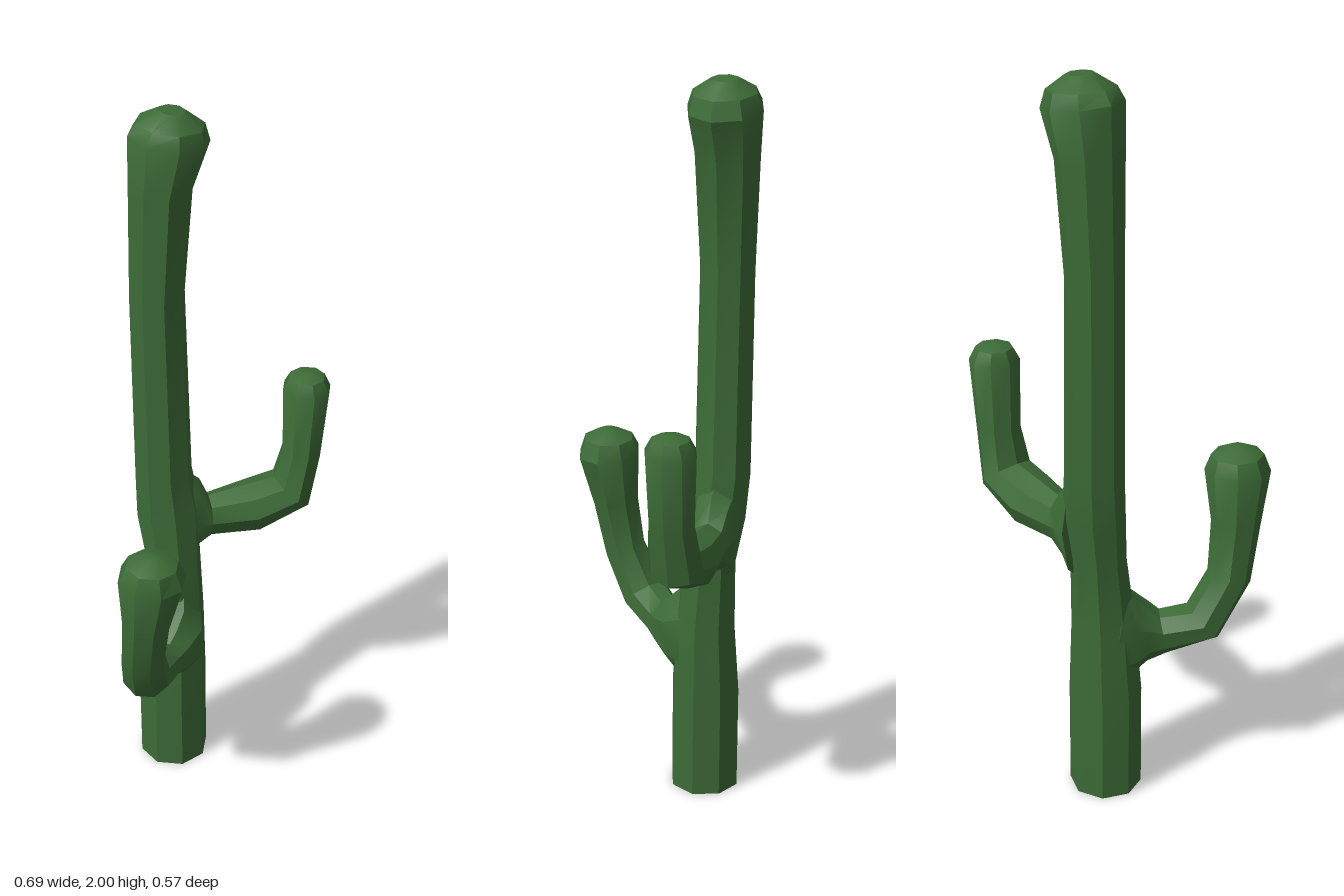
import * as THREE from 'three';
import { toCreasedNormals } from 'three/addons/utils/BufferGeometryUtils.js';

const SIDES = 8;

// Closed eight-sided limb through rings of [x, y, z, radius along side, radius across].
function limb(name, material, rings, side, phase = 0) {
  const centres = rings.map(r => new THREE.Vector3(r[0], r[1], r[2]));
  const last = rings.length - 1;
  const pos = [], index = [];
  rings.forEach((ring, i) => {
    const t = centres[Math.min(i + 1, last)].clone().sub(centres[Math.max(i - 1, 0)]).normalize();
    const v = t.clone().cross(side).normalize();
    const u = v.clone().cross(t);
    for (let j = 0; j < SIDES; j++) {
      const a = phase + (j / SIDES) * Math.PI * 2;
      const p = centres[i].clone()
        .addScaledVector(u, Math.cos(a) * ring[3])
        .addScaledVector(v, Math.sin(a) * (ring[4] ?? ring[3]));
      pos.push(p.x, p.y, p.z);
    }
  });
  const start = pos.length / 3;
  pos.push(...centres[0].toArray(), ...centres[last].toArray());
  for (let j = 0; j < SIDES; j++) {
    const k = (j + 1) % SIDES;
    for (let i = 0; i < last; i++) {
      const a = i * SIDES + j, b = i * SIDES + k;
      index.push(a, b, b + SIDES, a, b + SIDES, a + SIDES);
    }
    index.push(start, k, j, start + 1, last * SIDES + j, last * SIDES + k);
  }
  const geo = new THREE.BufferGeometry();
  geo.setAttribute('position', new THREE.Float32BufferAttribute(pos, 3));
  geo.setIndex(index);
  const mesh = new THREE.Mesh(toCreasedNormals(geo, 0.55), material);
  mesh.name = name;
  return mesh;
}

export function createModel() {
  const green = new THREE.MeshStandardMaterial({ color: 0x3d6b37 });
  green.name = 'cactus green';
  const group = new THREE.Group();
  group.name = 'cactus';

  // Main stem, leaning at its tip
  group.add(limb('trunk', green, [
    [-0.125, 0, -0.143, 0.097],
    [-0.125, 0.3, -0.143, 0.097],
    [-0.117, 0.5, -0.143, 0.085],
    [-0.115, 0.7, -0.157, 0.071, 0.077],
    [-0.12, 0.83, -0.175, 0.077, 0.088],
    [-0.13, 0.95, -0.182, 0.078],
    [-0.137, 1.5, -0.184, 0.075, 0.073],
    [-0.122, 1.8, -0.184, 0.088, 0.083],
    [-0.098, 1.925, -0.185, 0.1, 0.106],
    [-0.093, 1.965, -0.185, 0.085, 0.087],
    [-0.09, 1.998, -0.185, 0.035],
  ], new THREE.Vector3(0, 0, 1)));

  // Upper arm on the left
  group.add(limb('leftArm', green, [
    [-0.08, 0.79, -0.185, 0.068, 0.16],
    [-0.045, 0.79, -0.187, 0.062, 0.115],
    [-0.005, 0.78, -0.188, 0.054, 0.062],
    [0.12, 0.787, -0.188, 0.075, 0.073],
    [0.233, 0.825, -0.188, 0.075, 0.066],
    [0.262, 0.95, -0.188, 0.062, 0.055],
    [0.272, 1.145, -0.188, 0.069, 0.067],
    [0.272, 1.18, -0.188, 0.05],
    [0.272, 1.192, -0.188, 0.02],
  ], new THREE.Vector3(0, 0, 1)));

  // Lower arm reaching to the front right
  group.add(limb('frontArm', green, [
    [-0.122, 0.46, -0.14, 0.085, 0.18],
    [-0.14, 0.45, -0.07, 0.088, 0.125],
    [-0.165, 0.45, -0.03, 0.07, 0.085],
    [-0.19, 0.447, 0.005, 0.057, 0.062],
    [-0.255, 0.478, 0.088, 0.068, 0.062],
    [-0.278, 0.6, 0.16, 0.06],
    [-0.272, 0.75, 0.186, 0.066],
    [-0.259, 0.895, 0.2, 0.09, 0.087],
    [-0.257, 0.94, 0.2, 0.07],
    [-0.256, 0.965, 0.2, 0.02],
  ], new THREE.Vector3(0.93, 0, 0.36), Math.PI / 8));

  return group;
}
